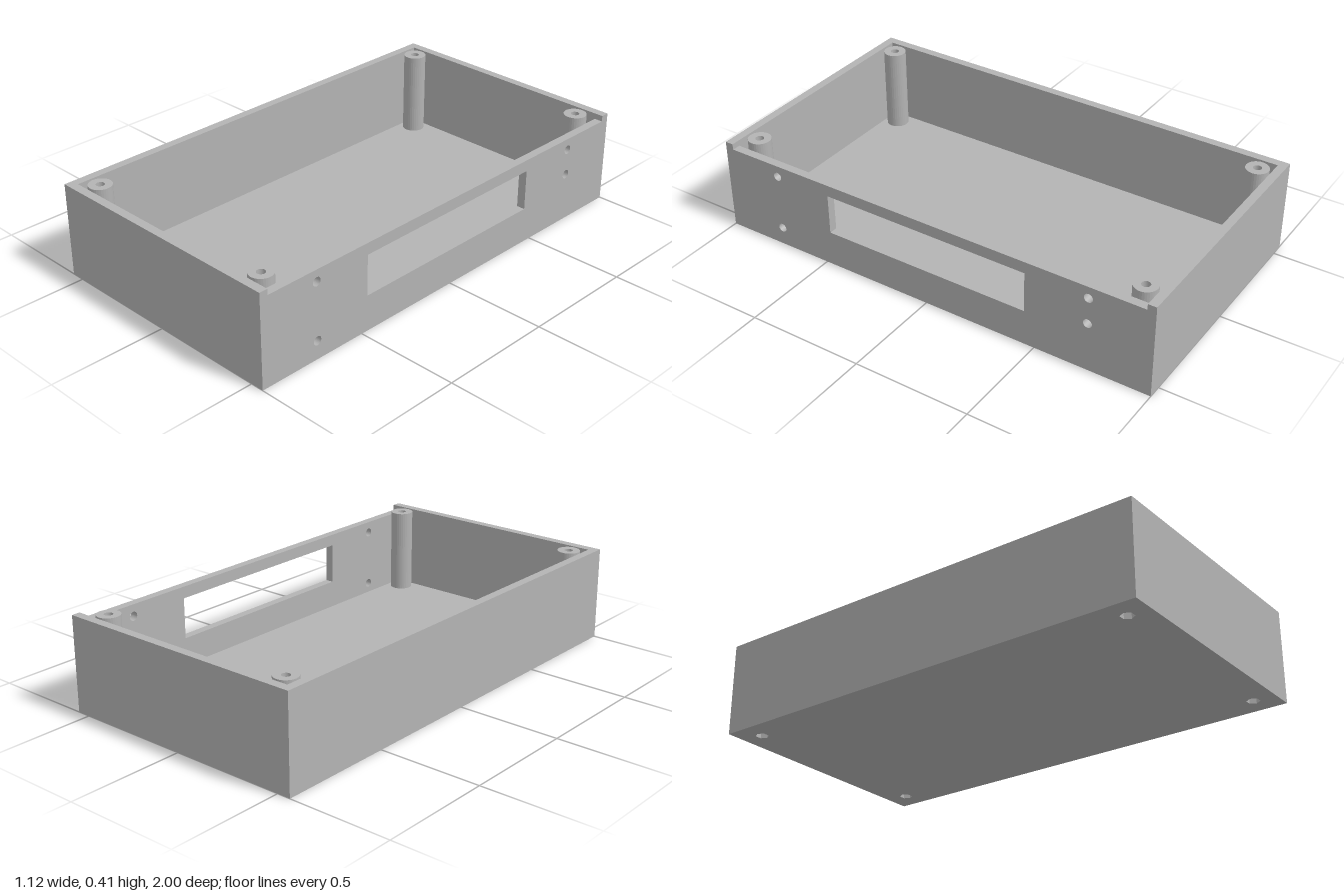
import * as THREE from 'three';

const W = 0.558, L = 1, H = 0.405, T = 0.037, FLOOR = 0.036;
const POST_X = 0.46, POST_Z = 0.903;
const corners = [[-1, -1], [1, -1], [1, 1], [-1, 1]].map(([x, z]) => [x * POST_X, z * POST_Z]);

const polygon = (points) => new THREE.Shape(points.map(([x, y]) => new THREE.Vector2(x, y)));
const rectangle = (x0, y0, x1, y1) => polygon([[x0, y0], [x1, y0], [x1, y1], [x0, y1]]);
const circle = (x, y, r) => new THREE.Path().absarc(x, y, r, 0, Math.PI * 2, true);

function hexagon(x, y, r) {
  const points = [];
  for (let i = 0; i < 6; i++) {
    const a = -i * Math.PI / 3;
    points.push(new THREE.Vector2(x + r * Math.cos(a), y + r * Math.sin(a)));
  }
  return new THREE.Path(points);
}

const extrude = (shape, depth) =>
  new THREE.ExtrudeGeometry(shape, { depth, bevelEnabled: false, curveSegments: 16 });

// Plan outline (x, -z) raised from y0 to y1
const raise = (shape, y0, y1) =>
  extrude(shape, y1 - y0).rotateX(-Math.PI / 2).translate(0, y0, 0);

export function createModel() {
  const group = new THREE.Group();
  const grey = new THREE.MeshStandardMaterial({ color: 0xb3b3b3 });
  grey.name = 'grey plastic';
  const add = (name, geometry) => {
    const mesh = new THREE.Mesh(geometry, grey);
    mesh.name = name;
    group.add(mesh);
    return mesh;
  };

  // Floor with a nut pocket under each post
  const floor = rectangle(-W, -L, W, L);
  corners.forEach(([x, z]) => floor.holes.push(hexagon(x, -z, 0.028)));
  add('floor', raise(floor, 0, FLOOR));

  // Three full-height walls in one U-shaped piece
  const walls = polygon([
    [-W, -L], [W, -L], [W, -L + T], [-W + T, -L + T],
    [-W + T, L - T], [W, L - T], [W, L], [-W, L],
  ]);
  add('walls', raise(walls, FLOOR, H));

  // Lower panel wall with a display window and four screw holes, drawn in (-z, y)
  const panel = rectangle(-L + T, FLOOR, L - T, 0.38);
  panel.holes.push(new THREE.Path(rectangle(-0.471, 0.155, 0.455, 0.33).getPoints().reverse()));
  [[0.73, 0.33], [0.73, 0.08], [-0.727, 0.33], [-0.727, 0.215]]
    .forEach(([z, y]) => panel.holes.push(circle(-z, y, 0.019)));
  add('panelWall', extrude(panel, T).rotateY(Math.PI / 2).translate(W - T, 0, 0));

  // Hollow screw posts in the corners
  const ring = new THREE.Shape().absarc(0, 0, 0.049, 0, Math.PI * 2, false);
  ring.holes.push(circle(0, 0, 0.018));
  const postGeometry = raise(ring, FLOOR, H);
  corners.forEach(([x, z]) => add('screwPost', postGeometry).position.set(x, 0, z));

  return group;
}
